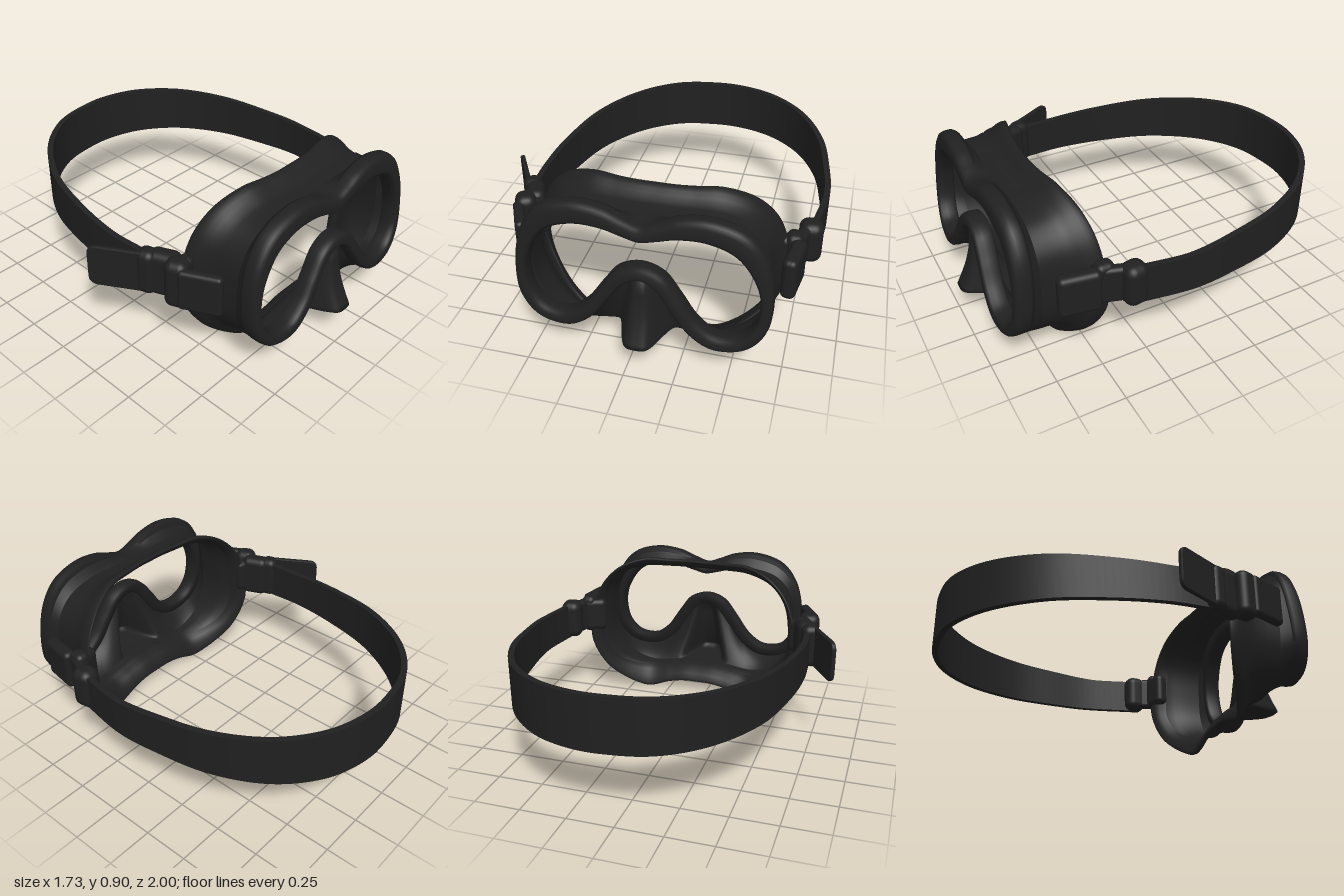
import * as THREE from 'three';
import { toCreasedNormals } from 'three/addons/utils/BufferGeometryUtils.js';
import { RoundedBoxGeometry } from 'three/addons/geometries/RoundedBoxGeometry.js';

const CX = 0.064; // symmetry plane of the mask
const SAMPLES = 260;
const lerp = THREE.MathUtils.lerp;

// Half outlines from top centre round to nose centre: x, y (and z of the back edge for the seal)
const OPENING = [[0, .745], [.08, .762], [.18, .787], [.32, .788], [.45, .735], [.54, .61], [.57, .49],
  [.548, .365], [.48, .29], [.37, .28], [.28, .342], [.195, .463], [.11, .57], [0, .605]];
const RIM = [[0, .82], [.08, .845], [.18, .885], [.325, .9], [.49, .85], [.585, .73], [.628, .52],
  [.61, .34], [.52, .235], [.36, .21], [.24, .28], [.14, .416], [.075, .5], [0, .537]];
const NECK = [[0, .825], [.08, .825], [.18, .825], [.325, .822], [.47, .78], [.56, .68], [.592, .5],
  [.58, .33], [.51, .21], [.42, .155], [.32, .135], [.2, .15], [.09, .165], [0, .165]];
const SEAL = [[0, .89, .58], [.08, .89, .58], [.18, .89, .57], [.325, .89, .545], [.48, .83, .505],
  [.585, .72, .475], [.645, .55, .455], [.655, .36, .45], [.57, .17, .49], [.45, .06, .55],
  [.325, .005, .6], [.19, .045, .61], [.09, .065, .61], [0, .067, .61]];

// Mirror a half outline and sample it as a smooth closed loop
function outline(half) {
  const pts = half.map(([x, y, z = 0]) => new THREE.Vector3(x, y, z));
  const mirrored = pts.slice(1, -1).reverse().map(p => new THREE.Vector3(-p.x, p.y, p.z));
  const curve = new THREE.CatmullRomCurve3([...pts, ...mirrored], true);
  return Array.from({ length: SAMPLES }, (_, i) => curve.getPoint(i / SAMPLES));
}

// Skin a list of closed rings
function loft(rings, closed = false) {
  const n = rings[0].length, m = rings.length, index = [];
  for (let r = 0; r < (closed ? m : m - 1); r++) {
    for (let i = 0; i < n; i++) {
      const a = r * n + i, b = r * n + (i + 1) % n;
      const c = ((r + 1) % m) * n + i, d = ((r + 1) % m) * n + (i + 1) % n;
      index.push(a, b, c, b, d, c);
    }
  }
  const g = new THREE.BufferGeometry();
  g.setAttribute('position', new THREE.Float32BufferAttribute(rings.flat().flatMap(p => [p.x, p.y, p.z]), 3));
  g.setIndex(index);
  g.computeVertexNormals();
  return g;
}

// Blend two outlines, with the depth given by a rule
const blend = (a, b, t, depth) => a.map((p, i) => {
  const q = p.clone().lerp(b[i], t);
  q.z = depth(q, i);
  return q;
});

export function createModel() {
  const group = new THREE.Group();
  const rubber = new THREE.MeshStandardMaterial({ color: 0x202020, side: THREE.DoubleSide });
  rubber.name = 'blackRubber';
  const add = (name, geometry, x = 0, y = 0, z = 0, turn = 0) => {
    const mesh = new THREE.Mesh(geometry, rubber);
    mesh.name = name;
    mesh.position.set(x, y, z);
    mesh.rotation.y = turn;
    group.add(mesh);
    return mesh;
  };

  const opening = outline(OPENING), rim = outline(RIM), neck = outline(NECK), seal = outline(SEAL);
  const front = p => .89 + (.9 - p.y) * .08 - .025 * Math.pow(Math.abs(p.x) / .64, 4);

  // Lens rim: rounded section swept round the opening
  const section = [[0, -.04], [.08, -.012], [.25, 0], [.75, 0], [.93, -.012], [1, -.035],
    [1, -.07], [.9, -.09], [.3, -.1], [.05, -.09]];
  add('lensRim', loft(section.map(([t, dz]) => blend(opening, rim, t, p => front(p) + dz)), true), CX);

  // Skirt: from the rim over the nose pocket to the neck; each step has its share of the nose depth
  const rings = [];
  for (const [t, fill] of [[0, .5], [.1, 1], [.2, 1], [.35, 1], [.5, 1], [.65, 1], [.8, 1], [.88, 1],
    [.94, 1], [.98, .85], [1, .25]]) {
    rings.push(blend(rim, neck, t, p => {
      const base = lerp(front(p) - .07, .76, t);
      const down = THREE.MathUtils.clamp((.53 - p.y) / .34, 0, 1);
      const nose = p.y > .6 ? 0 : Math.exp(-Math.pow(Math.abs(p.x) / (.045 + .065 * down), 4));
      return lerp(base, lerp(.905, 1, Math.pow(down, 2)), nose * fill);
    }));
  }
  // then flaring out to the face seal
  for (const [t, k] of [[.03, .2], [.1, .4], [.26, .54], [.55, .67], [.82, .77], [.96, .86], [1, .93], [.98, .98], [.93, 1.01]]) {
    rings.push(blend(neck, seal, t, (p, i) => lerp(.76, seal[i].z, k)));
  }
  // and folding back inside against the face
  for (const [t, dz] of [[.8, 0], [.5, .015], [.2, .04], [.05, .08]]) {
    rings.push(blend(neck, seal, t, (p, i) => seal[i].z + dz));
  }
  add('faceSkirt', loft(rings), CX);

  // Head strap: flat band that widens towards the back of the head
  const path = new THREE.CatmullRomCurve3([[.815, .34], [.85, .05], [.825, -.185], [.76, -.475], [.615, -.74],
    [.41, -.91], [.2, -.976], [.04, -.978], [-.18, -.93], [-.395, -.775], [-.575, -.5], [-.66, -.185],
    [-.69, .08], [-.68, .34]].map(([x, z]) => new THREE.Vector3(x, 0, z)));
  const band = [];
  for (let i = 0; i <= 90; i++) {
    const p = path.getPointAt(i / 90), d = path.getTangentAt(i / 90);
    const side = new THREE.Vector3(-d.z, 0, d.x).multiplyScalar(.016);
    const back = THREE.MathUtils.clamp((.1 - p.z) / 1.1, 0, 1);
    const low = .408 - .018 * back, high = .612 + .07 * back;
    band.push([[1, low], [1, high], [-1, high], [-1, low]].map(([s, y]) =>
      new THREE.Vector3(p.x + side.x * s, y, p.z + side.z * s)));
  }
  add('headStrap', toCreasedNormals(loft(band), .7));

  // Buckle parts: rounded blocks standing upright
  const block = (name, w, h, d, x, y, z, turn = 0) =>
    add(name, new RoundedBoxGeometry(w, h, d, 4, Math.min(w, d) * .4), x, y, z, turn);

  // Left buckle
  block('leftStrapLoop', .12, .23, .125, .803, .52, .355, .15);
  block('leftBuckleLink', .06, .2, .12, .765, .52, .44, -.3);
  block('leftBuckleArm', .14, .2, .08, .7, .52, .48, .4);
  block('leftBuckleBar', .085, .23, .1, .735, .525, .48);
  block('leftBuckleClip', .075, .225, .215, .75, .52, .612, -.15);

  // Right buckle, swung outwards
  block('rightStrapLoop', .1, .25, .1, -.69, .52, .335, .3);
  block('rightBuckleLink', .1, .25, .16, -.645, .52, .41, .4);
  block('rightBuckleArm', .11, .2, .08, -.6, .52, .475, -.4);
  block('rightBuckleBar', .11, .265, .12, -.66, .522, .505, .4);
  block('rightBuckleClip', .055, .225, .22, -.64, .52, .635, .46);

  // Loose strap end with rounded corners
  const w = .14, h = .11, r = .045;
  const tab = new THREE.Shape();
  tab.moveTo(-w, -h);
  tab.lineTo(w - r, -h);
  tab.quadraticCurveTo(w, -h, w, -h + r);
  tab.lineTo(w, h - r);
  tab.quadraticCurveTo(w, h, w - r, h);
  tab.lineTo(-w, h);
  const tail = new THREE.ExtrudeGeometry(tab, { depth: .012, bevelSize: .006, bevelThickness: .006, bevelSegments: 2 });
  tail.translate(0, 0, -.006);
  add('looseStrapEnd', tail, -.785, .52, .215, Math.PI - Math.atan2(.22, .13));
  return group;
}
